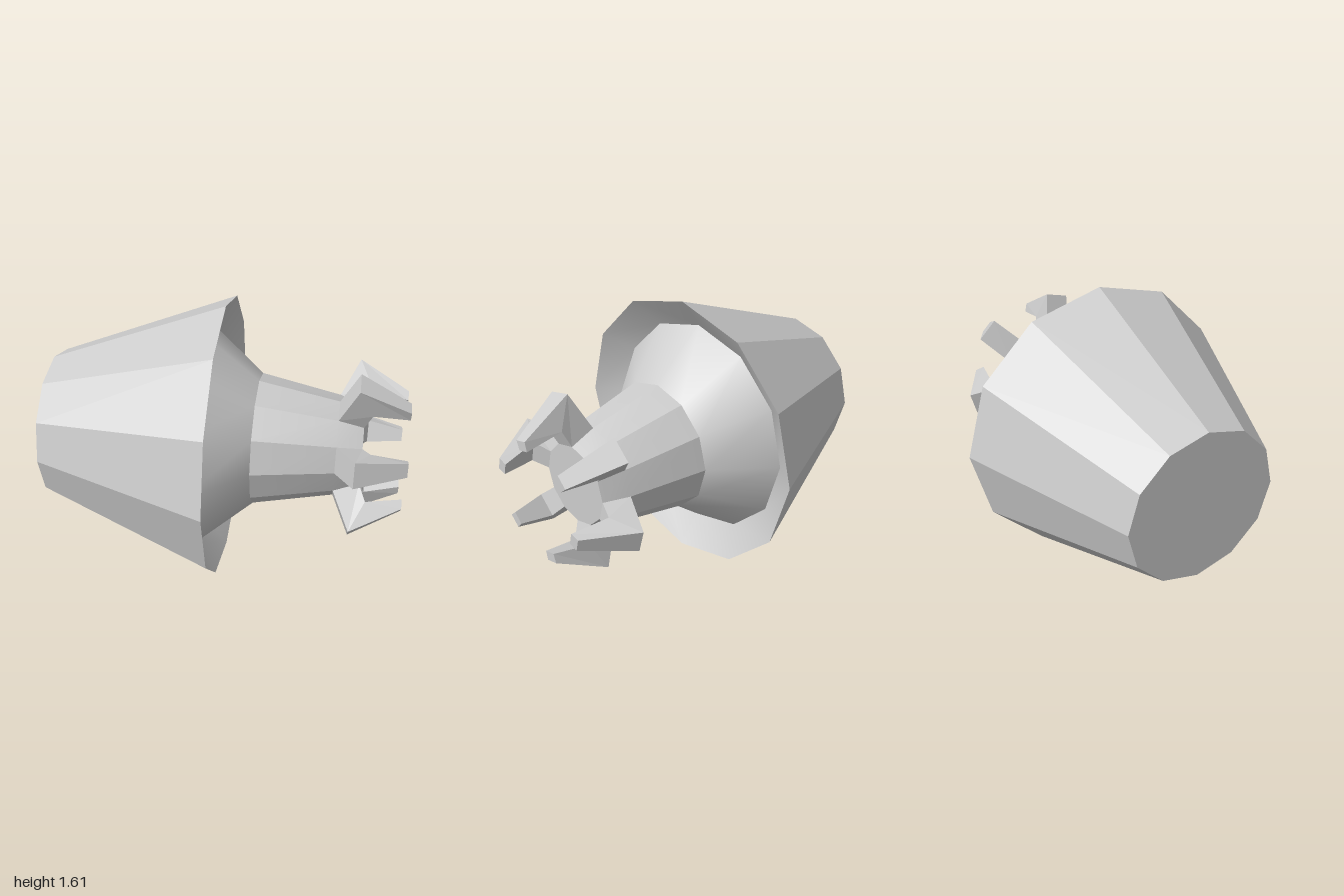
import * as THREE from 'three';
import { toCreasedNormals } from 'three/addons/utils/BufferGeometryUtils.js';

const SIDES = 12;
const AXIS_HEIGHT = 0.805;
const material = new THREE.MeshStandardMaterial({ color: 0xcccccc });

// Twelve-sided turned part lying along x; profile points are [radius, x]
function turned(name, profile) {
  const points = profile.map(([r, x]) => new THREE.Vector2(r, x));
  const lathe = new THREE.LatheGeometry(points, SIDES);
  lathe.rotateZ(-Math.PI / 2);
  const mesh = new THREE.Mesh(toCreasedNormals(lathe, THREE.MathUtils.degToRad(25)), material);
  mesh.name = name;
  return mesh;
}

// Hooked claw from three four-cornered sections: root, elbow, tip.
// Each section is an outer and an inner edge: [x, radius, half width]
function clawGeometry() {
  const sections = [
    [[0.62, 0.275, 0.074], [0.76, 0.222, 0.06]],
    [[0.72, 0.494, 0.07], [0.8, 0.32, 0.066]],
    [[1.0, 0.337, 0.038], [1.0, 0.283, 0.035]],
  ];
  const loops = sections.map(([o, i]) => [
    [o[0], o[1], -o[2]], [o[0], o[1], o[2]],
    [i[0], i[1], i[2]], [i[0], i[1], -i[2]],
  ]);
  const positions = [];
  const quad = (a, b, c, d) => positions.push(...a, ...b, ...c, ...a, ...c, ...d);
  for (let s = 0; s < loops.length - 1; s++) {
    for (let k = 0; k < 4; k++) {
      const n = (k + 1) % 4;
      quad(loops[s][k], loops[s][n], loops[s + 1][n], loops[s + 1][k]);
    }
  }
  quad(...loops[2]); // tip face
  const geometry = new THREE.BufferGeometry();
  geometry.setAttribute('position', new THREE.Float32BufferAttribute(positions, 3));
  geometry.computeVertexNormals();
  return geometry;
}

export function createModel() {
  const model = new THREE.Group();
  model.name = 'clawedNozzle';
  const body = new THREE.Group();
  body.name = 'body';
  body.position.y = AXIS_HEIGHT;
  model.add(body);

  // Outer bell with a closed back and a rim sloping inward
  body.add(turned('outerBell', [[0, -1], [0.43, -1], [0.805, -0.015], [0.635, -0.14]]));

  // Flared neck rising from the rim, with a flat end
  body.add(turned('neck', [[0.635, -0.14], [0.375, 0.17], [0.285, 0.62], [0.23, 0.76], [0, 0.76]]));

  // Six claws on every other facet of the neck's end
  const geometry = clawGeometry();
  for (let i = 0; i < 6; i++) {
    const claw = new THREE.Mesh(geometry, material);
    claw.name = `claw${i + 1}`;
    claw.rotation.x = Math.PI / SIDES + (i * Math.PI) / 3;
    body.add(claw);
  }
  return model;
}
